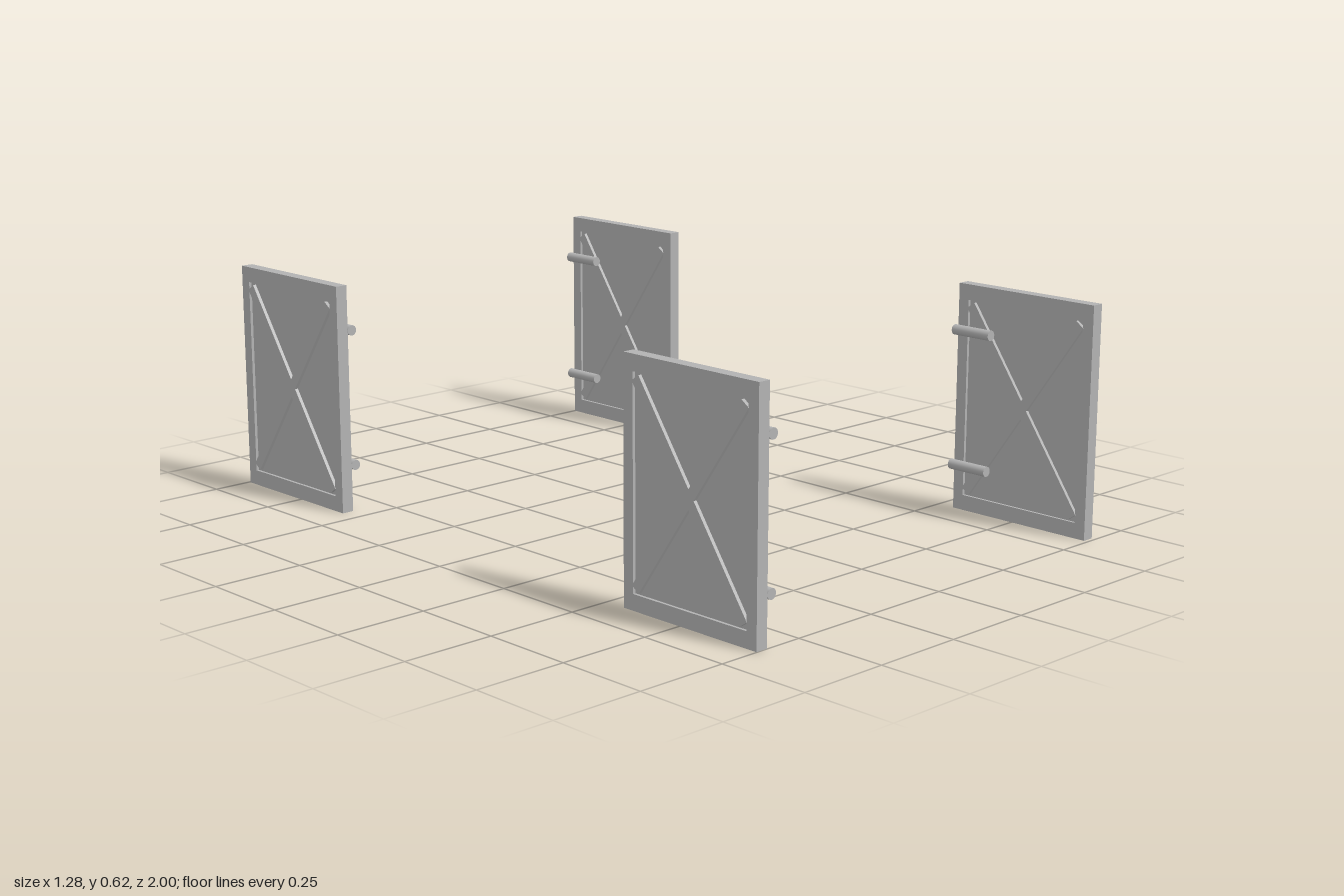
import * as THREE from 'three';

const H = 0.625, W = 0.438, T = 0.034;        // door height, width, thickness
const RAIL = 0.042, STILE = 0.032;            // frame borders
const RECESS = 0.008;                         // panel set-back on both faces

function rect(target, w, h) {
  target.moveTo(-w / 2, -h / 2);
  target.lineTo(w / 2, -h / 2);
  target.lineTo(w / 2, h / 2);
  target.lineTo(-w / 2, h / 2);
  target.closePath();
  return target;
}

export function createModel() {
  const grey = new THREE.MeshStandardMaterial({ color: 0xb2b2b2 });
  grey.name = 'plain grey';
  const model = new THREE.Group();
  model.name = 'fourDoors';

  const innerW = W - 2 * STILE, innerH = H - 2 * RAIL;

  // Rectangular frame, turned so its width runs along z
  const shape = rect(new THREE.Shape(), W, H);
  shape.holes.push(rect(new THREE.Path(), innerW, innerH));
  const frameGeo = new THREE.ExtrudeGeometry(shape, { depth: T, bevelEnabled: false });
  frameGeo.translate(0, 0, -T / 2).rotateY(-Math.PI / 2);

  const panelGeo = new THREE.BoxGeometry(T - 2 * RECESS, innerH, innerW);
  const braceGeo = new THREE.BoxGeometry(T + 0.003, 0.625, 0.028);
  const hingeGeo = new THREE.CylinderGeometry(0.014, 0.014, 0.122, 24).rotateX(Math.PI / 2);

  // Door with its inner face towards +x and its hinges at the +z edge
  function makeDoor(name) {
    const door = new THREE.Group();
    door.name = name;
    const add = (geo, part, x = 0, y = 0, z = 0) => {
      const mesh = new THREE.Mesh(geo, grey);
      mesh.name = part;
      mesh.position.set(x, y, z);
      door.add(mesh);
      return mesh;
    };
    add(frameGeo, 'frame');
    add(panelGeo, 'recessedPanel');
    // Crossed braces, a little proud of the frame on both faces
    const angle = Math.atan2(innerW, innerH);
    for (const s of [-1, 1]) add(braceGeo, 'crossBrace').rotation.x = s * angle;
    // Hinge barrels
    for (const y of [0.127, 0.5]) add(hingeGeo, 'hingeBarrel', T / 2 + 0.014, y - H / 2, W / 2 - 0.061);
    return door;
  }

  // Doors on the +x side are turned half round
  const places = [
    ['frontRightDoor', -0.622, 0.78, 0],
    ['backRightDoor', -0.622, -0.775, 0],
    ['frontLeftDoor', 0.62, 0.769, Math.PI],
    ['backLeftDoor', 0.62, -0.781, Math.PI],
  ];
  for (const [name, x, z, turn] of places) {
    const door = makeDoor(name);
    door.position.set(x, H / 2, z);
    door.rotation.y = turn;
    model.add(door);
  }
  return model;
}
